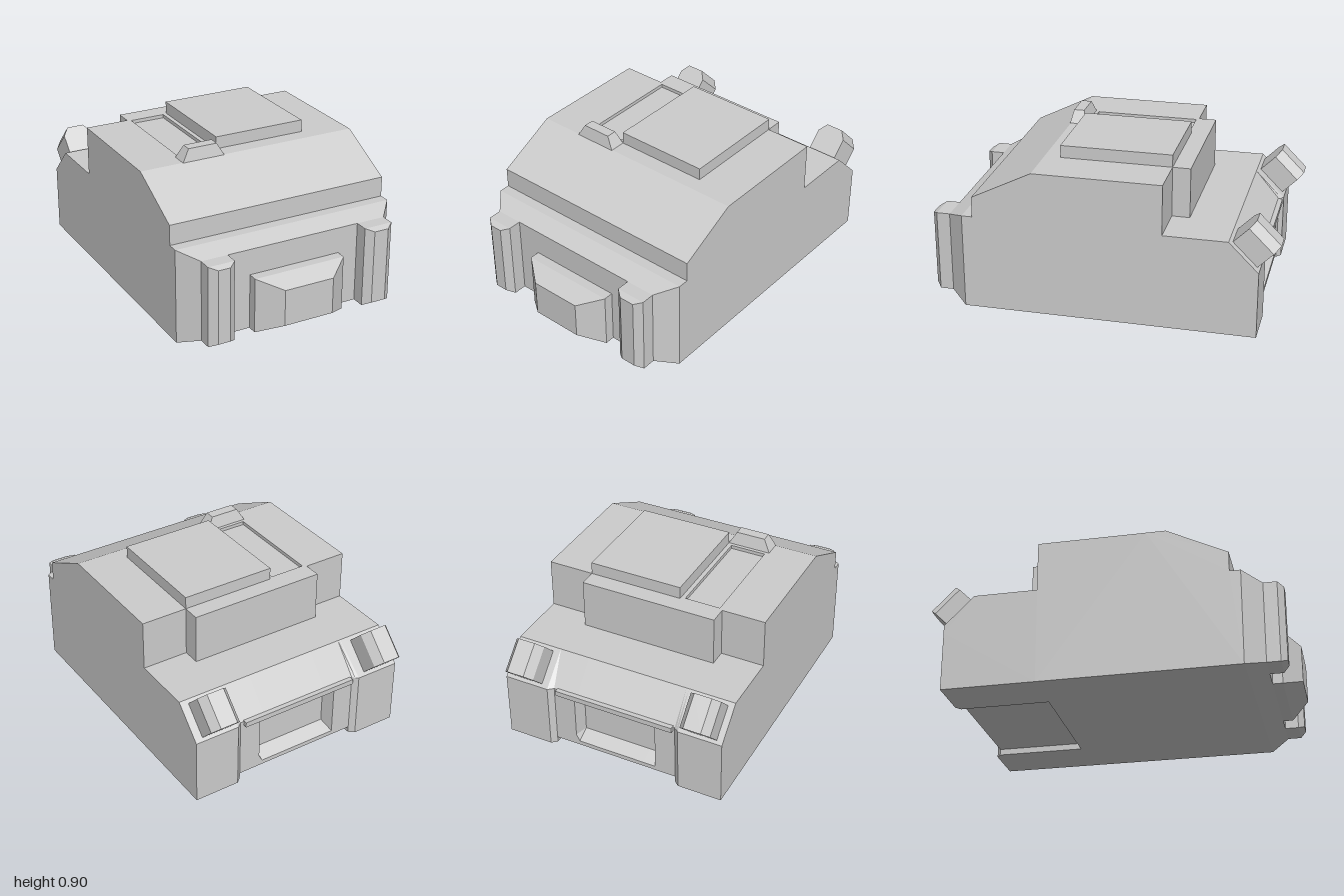
import * as THREE from 'three';

const grey = new THREE.MeshStandardMaterial({ color: 0xcccccc, flatShading: true });

// Joins equal-length counter-clockwise loops [u, v] placed at heights w, and caps both ends.
function loft(sections, place) {
  const positions = [];
  const put = (s, i) => {
    const [u, v] = s.loop[i];
    positions.push(...place(u, v, s.w));
  };
  const n = sections[0].loop.length;
  for (let k = 0; k + 1 < sections.length; k++) {
    const a = sections[k], b = sections[k + 1];
    for (let i = 0; i < n; i++) {
      const j = (i + 1) % n;
      put(a, i); put(a, j); put(b, j);
      put(a, i); put(b, j); put(b, i);
    }
  }
  const cap = (s, flip) => {
    const points = s.loop.map(([u, v]) => new THREE.Vector2(u, v));
    for (const [a, b, c] of THREE.ShapeUtils.triangulateShape(points, [])) {
      put(s, a); put(s, flip ? c : b); put(s, flip ? b : c);
    }
  };
  cap(sections[0], true);
  cap(sections[sections.length - 1], false);
  const geometry = new THREE.BufferGeometry();
  geometry.setAttribute('position', new THREE.Float32BufferAttribute(positions, 3));
  geometry.computeVertexNormals();
  return geometry;
}

const alongX = (u, v, w) => [w, v, -u];
const alongY = (u, v, w) => [u, w, -v];
const alongZ = (u, v, w) => [u, v, w];
const rect = (w, u0, u1, v0, v1) => ({ w, loop: [[u0, v0], [u1, v0], [u1, v1], [u0, v1]] });

// Side profile of the hull at one x: roof recess, rear inset, underside recess and window depth vary.
function hullSection(x, roof, rear, under, windowDepth) {
  const back = -0.895 + rear;
  const profile = [
    [0.74, 0], [0.74, 0.545], [0.68, 0.545], [0.68, 0.66], [0.34, 0.83],
    [0.23, 0.83], [0.23, 0.83 - roof], [-0.36, 0.83 - roof], [-0.36, 0.83],
    [-0.375, 0.83], [-0.375, 0.545], [-0.73, 0.545], [back, 0.38],
    [back, 0.355], [back + windowDepth, 0.335], [back + windowDepth, 0.1], [back, 0.06],
    [back, under], [-0.37, under], [-0.37, 0],
  ];
  return { w: x, loop: profile.map(([z, y]) => [-z, y]).reverse() };
}

export function createModel() {
  const model = new THREE.Group();
  const add = (name, geometry, parent = model) => {
    const mesh = new THREE.Mesh(geometry, grey);
    mesh.name = name;
    parent.add(mesh);
    return mesh;
  };
  const box = (name, x0, x1, y0, y1, z0, z1) => {
    const mesh = add(name, new THREE.BoxGeometry(x1 - x0, y1 - y0, z1 - z0));
    mesh.position.set((x0 + x1) / 2, (y0 + y1) / 2, (z0 + z1) / 2);
  };

  // Hull, swept from its right side to its left
  const inset = 0.025, under = 0.035, deep = 0.075, dent = 0.02;
  add('hull', loft([
    hullSection(-0.655, 0, 0, 0, 0),
    hullSection(-0.4, 0, 0, 0, 0),
    hullSection(-0.385, 0, 0.012, 0, 0),
    hullSection(-0.385, dent, 0.012, 0, 0),
    hullSection(-0.37, dent, inset, 0, 0),
    hullSection(-0.37, dent, inset, under, 0),
    hullSection(-0.25, dent, inset, under, 0),
    hullSection(-0.23, dent, inset, under, deep),
    hullSection(-0.18, dent, inset, under, deep),
    hullSection(-0.18, 0, inset, under, deep),
    hullSection(0.22, 0, inset, under, deep),
    hullSection(0.24, 0, inset, under, 0),
    hullSection(0.365, 0, inset, under, 0),
    hullSection(0.365, 0, inset, 0, 0),
    hullSection(0.395, 0, 0, 0, 0),
    hullSection(0.655, 0, 0, 0, 0),
  ], alongX));

  // Roof parts
  box('roofHatch', -0.155, 0.39, 0.82, 0.9, -0.375, 0.25);
  box('rearHousing', -0.405, 0.39, 0.545, 0.83, -0.475, -0.375);
  add('roofWedge', loft([
    rect(0.83, -0.405, -0.155, -0.345, -0.25),
    rect(0.9, -0.365, -0.195, -0.33, -0.27),
  ], alongY));

  // Tapered nose with a centre bumper
  add('nose', loft([
    rect(0.74, -0.655, 0.655, 0, 0.545),
    rect(0.845, -0.56, 0.56, 0.04, 0.505),
  ], alongZ));
  add('frontBumper', loft([
    rect(0.845, -0.273, 0.273, 0.04, 0.357),
    rect(0.9, -0.273, 0.273, 0.04, 0.357),
    rect(1, -0.147, 0.147, 0.095, 0.305),
  ], alongZ));

  // Upright front posts with chamfered faces
  for (const [name, x0, x1] of [['rightPost', -0.56, -0.405], ['leftPost', 0.39, 0.56]]) {
    add(name, loft([
      rect(0.845, x0, x1, 0.04, 0.505),
      rect(0.92, x0, x1, 0.04, 0.505),
      rect(0.953, x0 + 0.042, x1 - 0.042, 0.06, 0.49),
    ], alongZ));
  }

  // Lip over the rear window
  box('rearLip', -0.36, 0.345, 0.355, 0.385, -0.893, -0.865);

  // Chamfered blocks on the sloping rear corners
  const block = new THREE.Shape([
    [-0.087, 0], [0.087, 0], [0.087, 0.125], [0.05, 0.175], [-0.05, 0.175], [-0.087, 0.125],
  ].map(([x, y]) => new THREE.Vector2(x, y)));
  for (const [name, x] of [['rightRearBlock', -0.532], ['leftRearBlock', 0.522]]) {
    const mesh = add(name, new THREE.ExtrudeGeometry(block, { depth: 0.19, bevelEnabled: false }));
    mesh.position.set(x, 0.39, -0.876);
    mesh.rotation.x = -Math.PI / 4;
  }
  return model;
}
